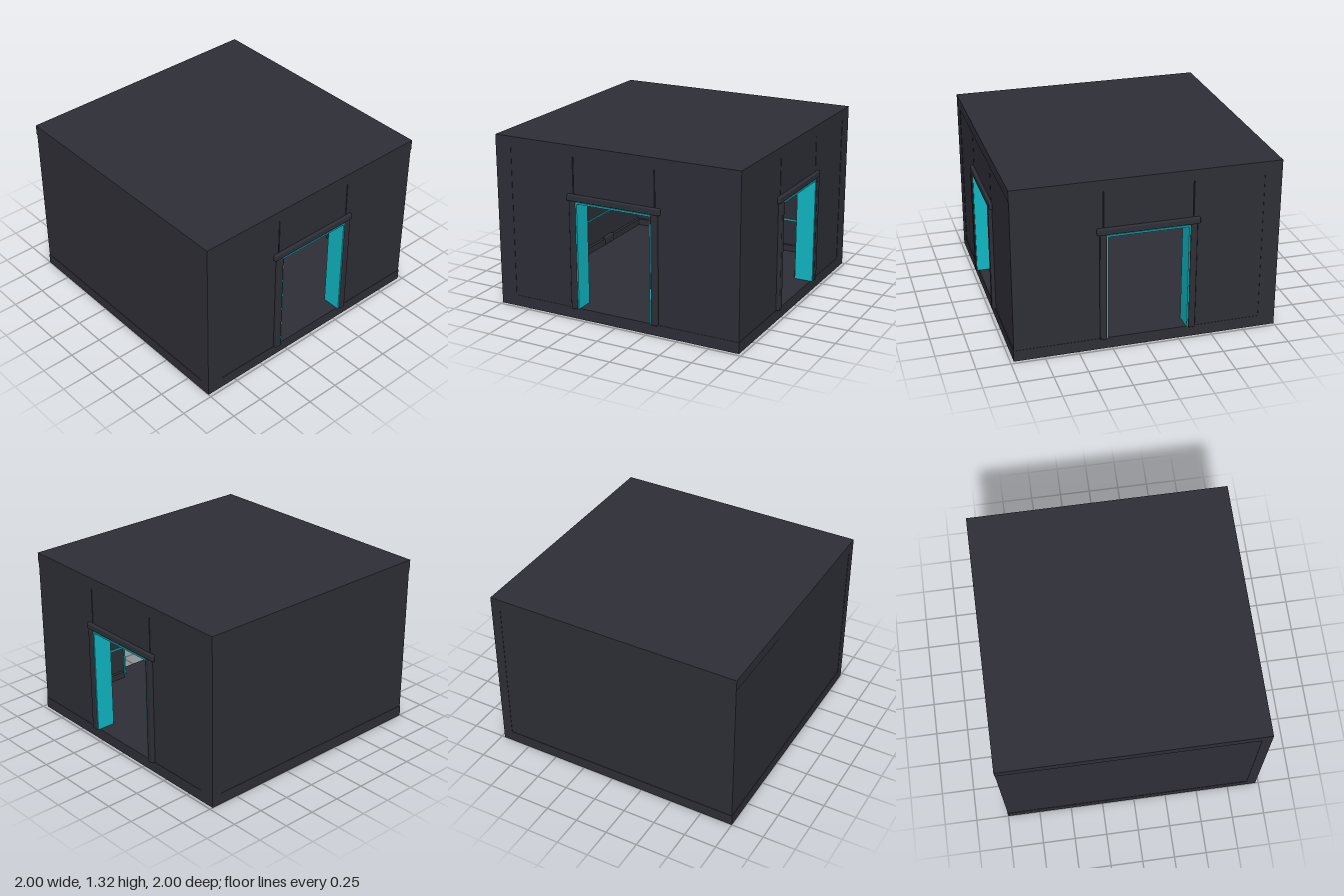
import * as THREE from 'three';
import { RoundedBoxGeometry } from 'three/addons/geometries/RoundedBoxGeometry.js';

const flat = (name, color) => {
  const m = new THREE.MeshStandardMaterial({ color });
  m.name = name;
  return m;
};

export function createModel() {
  const group = new THREE.Group();
  group.name = 'room';
  const dark = flat('charcoal', 0x2e2e37);
  const teal = flat('teal', 0x10b8c4);

  // Box given by its limits on each axis, optionally with rounded edges
  function box(name, mat, [x0, x1], [y0, y1], [z0, z1], radius = 0) {
    const size = [x1 - x0, y1 - y0, z1 - z0];
    const geo = radius ? new RoundedBoxGeometry(...size, 2, radius) : new THREE.BoxGeometry(...size);
    const mesh = new THREE.Mesh(geo, mat);
    mesh.name = name;
    mesh.position.set((x0 + x1) / 2, (y0 + y1) / 2, (z0 + z1) / 2);
    group.add(mesh);
  }

  // The room is symmetric about its x = z diagonal: a = along the wall, d = depth
  function pair(name, mat, a, y, d, radius) {
    box(name, mat, a, y, d, radius);
    box(name, mat, d, y, a, radius);
  }

  const full = [-1, 0.975];
  const inner = [-0.87, 0.855];
  const wallY = [0.083, 1.235];
  const left = -0.32, right = 0.293, doorTop = 0.905;

  // Floor and roof slabs
  box('floor', dark, full, [0, 0.085], full);
  box('roof', dark, full, [1.235, 1.32], full);

  // Door walls: structural core around the opening
  const core = [0.855, 0.962];
  pair('doorWallCore', dark, [-0.99, left], wallY, core);
  pair('doorWallCore', dark, [right, 0.962], wallY, core);
  pair('doorWallCore', dark, [left, right], [doorTop, 1.235], core);

  // Door walls: outer panels with narrow seams between them
  const skin = [0.96, 0.972];
  pair('outerPanel', dark, [-0.922, -0.348], wallY, skin);
  pair('outerPanel', dark, [0.318, 0.972], wallY, skin);
  pair('outerPanel', dark, [-0.341, 0.311], [0.94, 1.235], skin);
  pair('cornerPost', dark, [-1, -0.927], wallY, [0.9, 0.975]);

  // Plain walls
  pair('plainWall', dark, [-0.997, 0.9], wallY, [-0.997, -0.87]);
  pair('cornerPost', dark, [0.9, 0.975], wallY, [-1, -0.87]);

  // Door surrounds: posts and lintel outside, coloured lining inside
  const trim = [0.962, 1];
  pair('doorPost', dark, [-0.37, left], [0.083, 0.912], trim, 0.008);
  pair('doorPost', dark, [right, 0.342], [0.083, 0.912], trim, 0.008);
  pair('doorLintel', dark, [-0.393, 0.363], [0.91, 0.96], [0.962, 0.995], 0.01);
  const lining = [0.845, 0.99];
  pair('doorLining', teal, [left, left + 0.011], [0.085, 0.905], lining);
  pair('doorLining', teal, [right - 0.011, right], [0.085, 0.905], lining);
  pair('doorLining', teal, [left, right], [0.895, 0.907], lining);

  // Interior mouldings on the plain walls
  pair('baseboard', dark, inner, [0.085, 0.135], [-0.87, -0.845]);
  pair('cornice', dark, inner, [1.175, 1.235], [-0.87, -0.82]);
  pair('wallStripe', teal, inner, [0.344, 0.354], [-0.87, -0.862]);
  pair('seamPlinth', dark, [-0.41, -0.275], [0.085, 0.15], [-0.87, -0.835], 0.01);
  pair('wallFixture', dark, [-0.4, -0.283], [0.68, 0.71], [-0.87, -0.84]);

  // Interior mouldings beside and above the doors
  pair('cornice', dark, inner, [1.175, 1.235], [0.805, 0.855]);
  for (const span of [[-0.87, -0.335], [0.31, 0.855]]) {
    pair('baseboard', dark, span, [0.085, 0.135], [0.83, 0.855]);
    pair('wallStripe', teal, span, [0.344, 0.354], [0.847, 0.855]);
  }

  return group;
}
